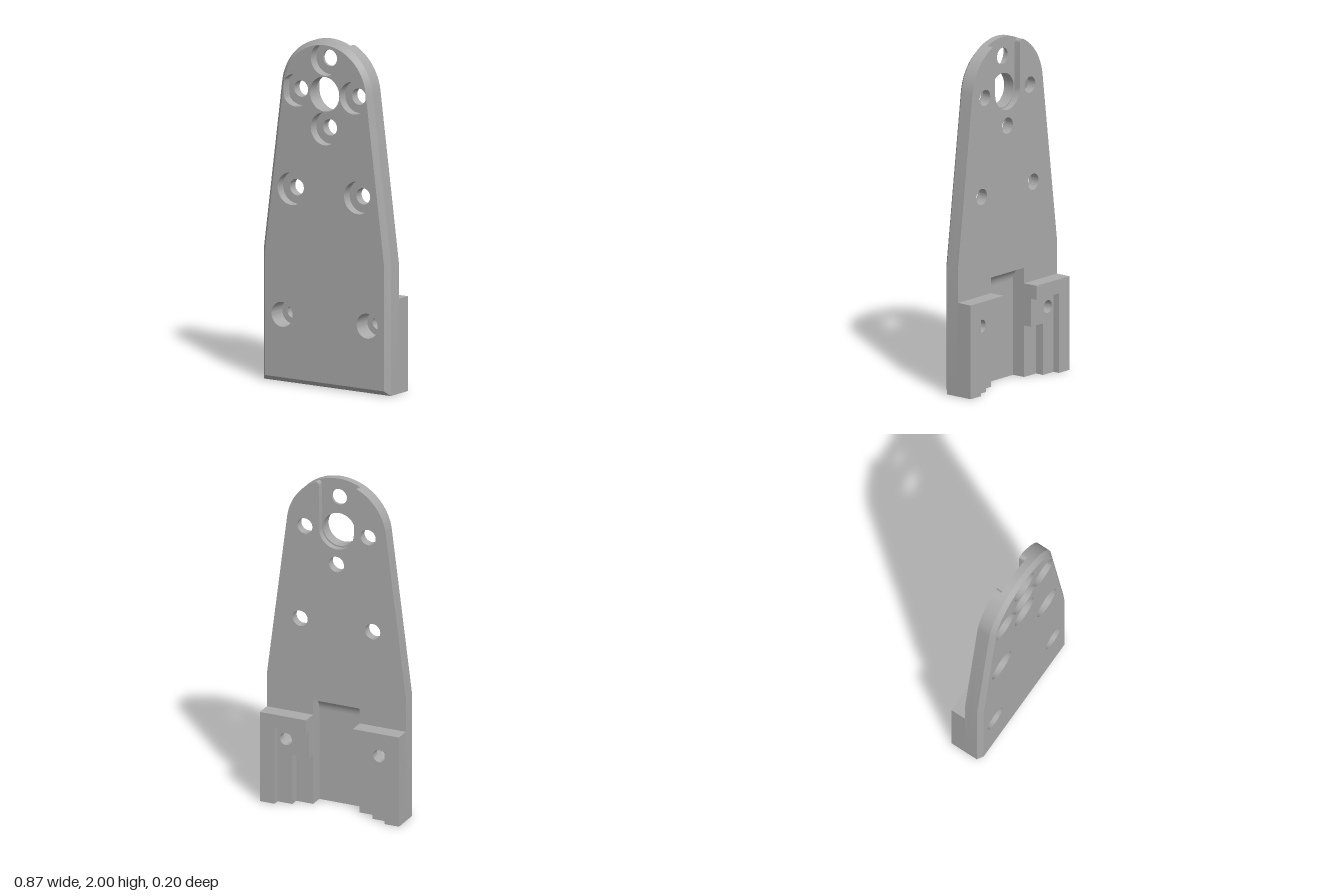
import * as THREE from 'three';
import { toCreasedNormals } from 'three/addons/utils/BufferGeometryUtils.js';

const W = 0.433, SHOULDER = 0.75, CY = 1.69, R = 0.31;   // plate outline
const CHAN = 0.145, CHAN_TOP = 0.635, CHAMFER = 0.028;   // rear channel, front chamfer
const SLOT = 0.108, FLARE = 0.14;                        // rear slot at the rounded end

const v = (x, y) => new THREE.Vector2(x, y);
const mirrorX = (pts) => pts.map((p) => v(-p.x, p.y)).reverse();

function arc(cx, cy, r, a0, a1, n) {
  return Array.from({ length: n + 1 }, (_, i) => {
    const a = a0 + (a1 - a0) * i / n;
    return v(cx + r * Math.cos(a), cy + r * Math.sin(a));
  });
}

// angle at which the tapered edge runs tangent into the round end
const TANGENT = Math.atan2(SHOULDER - CY, W) + Math.acos(R / Math.hypot(W, SHOULDER - CY));

// right half of the outline, bottom to top, shrunk by an inset
function halfOutline(inset, endAngle = Math.PI / 2) {
  return [
    v(W - inset, inset),
    v(W - inset, SHOULDER - inset * Math.tan(TANGENT / 2)),
    ...arc(0, CY, R - inset, TANGENT, endAngle, 32),
  ];
}

function fullOutline(inset) {
  const half = halfOutline(inset);
  return [...half, ...mirrorX(half).slice(1)];
}

const channelNotch = [v(-CHAN, 0), v(-CHAN, CHAN_TOP), v(CHAN, CHAN_TOP), v(CHAN, 0)];

// outline with the flared slot cut in from the top
function slottedOutline() {
  const half = halfOutline(0, Math.acos(FLARE / R));
  const corner = v(SLOT, CY + Math.sqrt(R * R - SLOT * SLOT));
  const flare = new THREE.QuadraticBezierCurve(half[half.length - 1], corner, v(SLOT, corner.y - 0.04));
  const side = [...half, ...flare.getPoints(8).slice(1)];
  return [...side, ...arc(0, CY, SLOT, 0, -Math.PI, 32), ...mirrorX(side), ...channelNotch];
}

// hole whose rim is kept inside the chamfered round end
function hole([x, y], r) {
  return arc(x, y, r, 0, Math.PI * 2, 48).slice(0, -1).map((p) => {
    const d = Math.hypot(p.x, p.y - CY);
    if (p.y < 1.6 || d < 0.279) return p;
    return v(p.x * 0.279 / d, CY + (p.y - CY) * 0.279 / d);
  });
}

function extrude(points, holes, z0, z1) {
  const shape = new THREE.Shape(points);
  shape.holes = holes.map((h) => new THREE.Path(h));
  const geo = new THREE.ExtrudeGeometry(shape, { depth: z1 - z0, bevelEnabled: false });
  return toCreasedNormals(geo.translate(0, 0, z0), 0.5);
}

// sloped rim around the front face, closed by a flat ring at its back
function chamferRing(z0, z1) {
  const outer = fullOutline(0), inner = fullOutline(CHAMFER), pos = [];
  const quad = (a, b, c, d) => pos.push(...a, ...b, ...c, ...a, ...c, ...d);
  outer.forEach((o, i) => {
    const j = (i + 1) % outer.length, p = outer[j], a = inner[i], b = inner[j];
    quad([o.x, o.y, z0], [p.x, p.y, z0], [b.x, b.y, z1], [a.x, a.y, z1]);
    quad([o.x, o.y, z0], [a.x, a.y, z0], [b.x, b.y, z0], [p.x, p.y, z0]);
  });
  const geo = new THREE.BufferGeometry();
  geo.setAttribute('position', new THREE.Float32BufferAttribute(pos, 3));
  return toCreasedNormals(geo, 0.3);
}

export function createModel() {
  const group = new THREE.Group();
  group.name = 'mountingPlate';
  const grey = new THREE.MeshStandardMaterial({ color: 0xaaaaaa });
  grey.name = 'plain grey';
  const add = (name, geo) => {
    const mesh = new THREE.Mesh(geo, grey);
    mesh.name = name;
    group.add(mesh);
  };

  // hole positions
  const top = [0, 1.89];
  const screws = [[-0.197, CY], [0.197, CY], [0, 1.49], [-0.226, 1.12], [0.226, 1.12]];
  const feet = [[-0.29, 0.39], [0.29, 0.39]].map((c) => hole(c, 0.072));
  const bore = hole([0, CY], 0.1);
  const narrow = (list) => list.map((c) => hole(c, 0.047));
  const wide = [top, ...screws].map((c) => hole(c, 0.094));
  const notched = [...fullOutline(0), ...channelNotch];

  // plate, from back to front
  add('slottedBackLayer', extrude(slottedOutline(), [...narrow(screws), ...feet], -0.008, 0.03));
  add('middleLayer', extrude(notched, [...narrow([top, ...screws]), bore, ...feet], 0.03, 0.045));
  add('counterboreLayer', extrude(notched, [...wide, bore, ...feet], 0.045, 0.072));
  add('frontFace', extrude(fullOutline(CHAMFER), [...wide, bore, ...feet], 0.072, 0.1));
  add('frontChamfer', chamferRing(0.072, 0.1));

  // curved upper end of the rear channel
  const cove = [...arc(-0.008, CHAN_TOP - 0.08, 0.08, 0, Math.PI / 2, 16), v(0.072, CHAN_TOP)];
  add('channelCove', extrude(cove, [], 0, CHAN * 2).rotateY(-Math.PI / 2).translate(CHAN, 0, 0));

  // stepped pads on the back
  for (const s of [1, -1]) {
    const side = s > 0 ? 'left' : 'right';
    const stepped = (x, y) => [[x, 0], [W, 0], [W, 0.545], [CHAN, 0.545], [CHAN, y], [x, y]]
      .map(([px, py]) => v(s * px, py));
    add(side + 'PadBase', extrude(stepped(0.25, 0.3), [hole([s * 0.29, 0.39], 0.037)], -0.06, -0.008));
    add(side + 'PadRim', extrude(stepped(0.342, 0.463), [], -0.1, -0.06));
  }
  return group;
}
